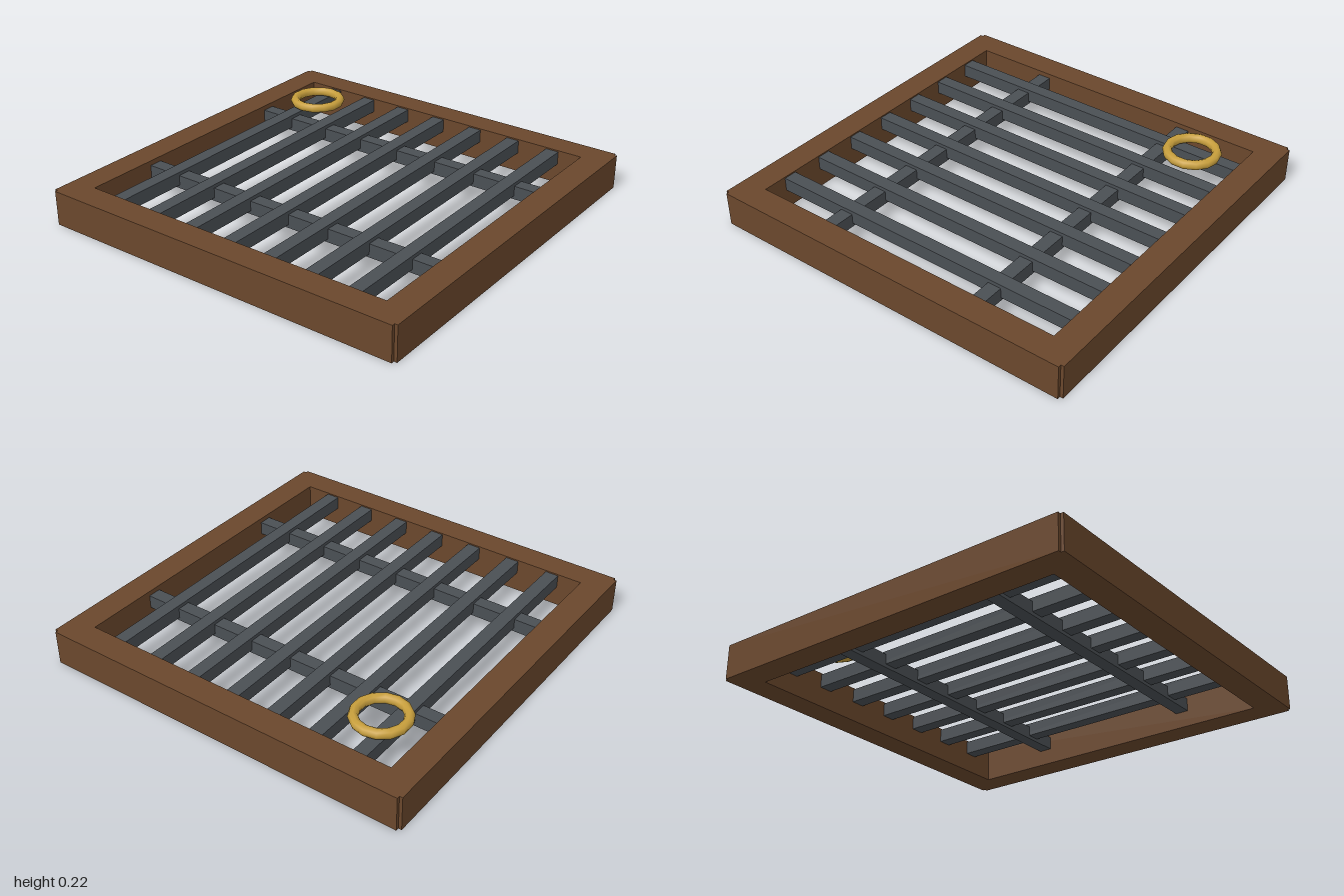
import * as THREE from 'three';

const wood = new THREE.MeshStandardMaterial({ name: 'brown wood', color: 0x6a472c });
const iron = new THREE.MeshStandardMaterial({ name: 'dark iron', color: 0x4a4f54 });
const brass = new THREE.MeshStandardMaterial({ name: 'brass', color: 0xc89f3c });

const HEIGHT = 0.18, INNER = 0.86, BAR = 0.07;

export function createModel() {
  const group = new THREE.Group();
  group.name = 'hatchGrate';

  const add = (name, geometry, material, x, y, z) => {
    const mesh = new THREE.Mesh(geometry, material);
    mesh.name = name;
    mesh.position.set(x, y, z);
    group.add(mesh);
    return mesh;
  };

  // Square frame with small notches at the outer corners
  const o = 1, n = 0.984;
  const outline = new THREE.Shape([
    [n, -o], [n, -n], [o, -n], [o, n], [n, n], [n, o],
    [-n, o], [-n, n], [-o, n], [-o, -n], [-n, -n], [-n, -o],
  ].map(([x, y]) => new THREE.Vector2(x, y)));
  outline.holes.push(new THREE.Path([
    [-INNER, -INNER], [-INNER, INNER], [INNER, INNER], [INNER, -INNER],
  ].map(([x, y]) => new THREE.Vector2(x, y))));
  const frame = new THREE.ExtrudeGeometry(outline, { depth: HEIGHT, bevelEnabled: false });
  frame.rotateX(-Math.PI / 2);
  add('frame', frame, wood, 0, 0, 0);

  // Seven bars running side to side
  const barGeometry = new THREE.BoxGeometry(INNER * 2, BAR, BAR);
  for (let i = -3; i <= 3; i++) {
    add('bar', barGeometry, iron, 0, 0.138, i * 0.2325);
  }

  // Two slightly lower cross bars running front to back
  const crossGeometry = new THREE.BoxGeometry(BAR, BAR, INNER * 2);
  for (const side of [-1, 1]) {
    add('crossBar', crossGeometry, iron, side * 0.446, 0.12, 0);
  }

  // Pull ring lying flat near the back corner
  const ring = new THREE.TorusGeometry(0.125, 0.025, 8, 14);
  ring.rotateX(-Math.PI / 2);
  add('pullRing', ring, brass, 0.625, 0.2, -0.65);

  return group;
}
